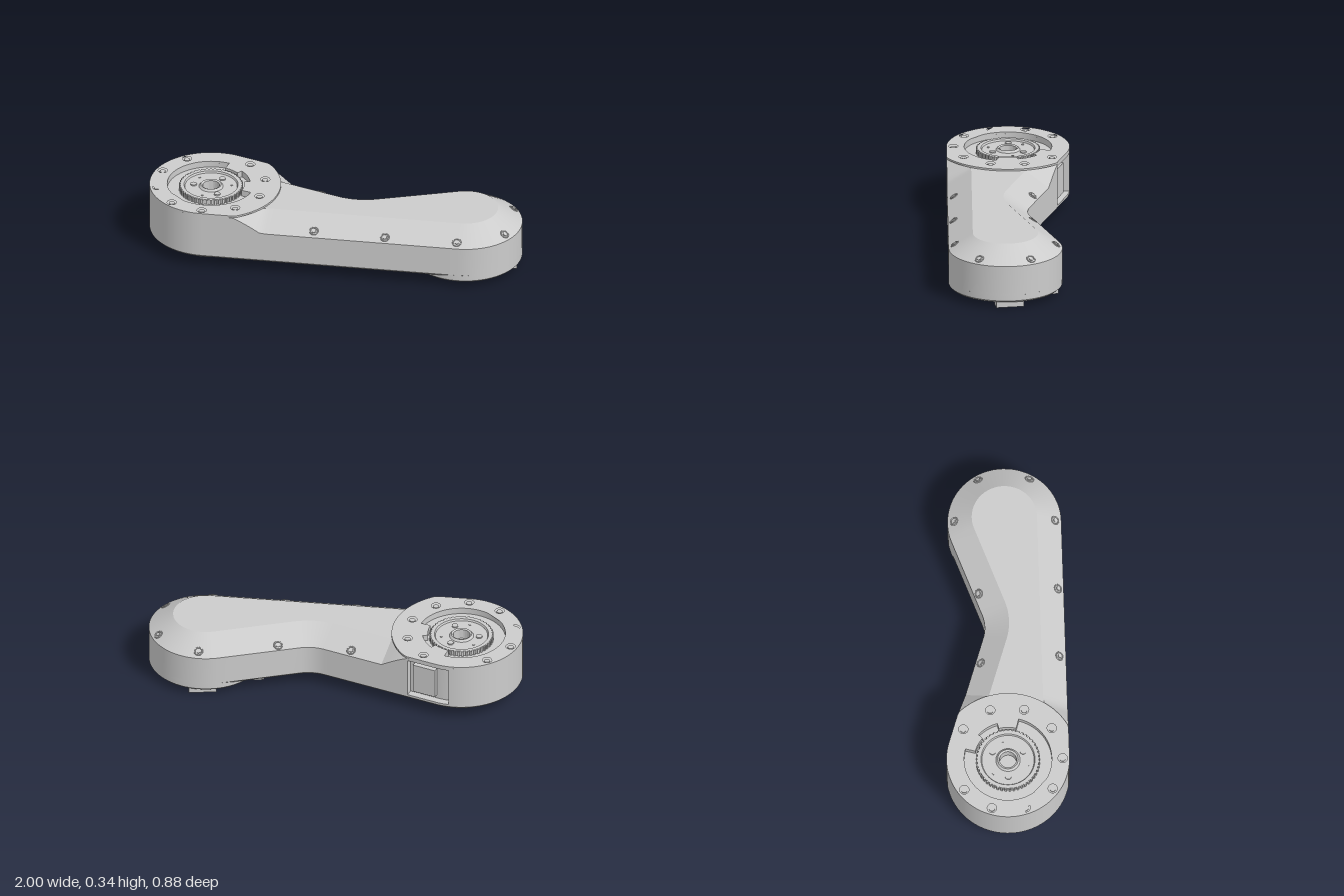
import * as THREE from 'three';
import { toCreasedNormals } from 'three/addons/utils/BufferGeometryUtils.js';

const mat = new THREE.MeshStandardMaterial({ color: 0xcccccc });
const matDouble = new THREE.MeshStandardMaterial({ color: 0xcccccc, side: THREE.DoubleSide });
const rad = THREE.MathUtils.degToRad;
const A = { x: -0.668, z: -0.112, r: 0.33 };   // drum end
const B = { x: 0.695, z: 0.13, r: 0.305 };     // lobe end
const W = { x: 0.16, z: -0.283, r: 0.2 };      // concave waist fillet
const TOP = 0.325, BASE = 0.065, PLATE = 0.335;

export function createModel() {
  const model = new THREE.Group();
  const add = (name, geo, x = 0, y = 0, z = 0, m = mat) => {
    const mesh = new THREE.Mesh(geo, m);
    mesh.name = name;
    mesh.position.set(x, y, z);
    model.add(mesh);
    return mesh;
  };
  const disc = (name, x, z, r, y0, y1, seg = 48) =>
    add(name, new THREE.CylinderGeometry(r, r, y1 - y0, seg), x, (y0 + y1) / 2, z);
  const block = (name, x, z, w, d, y0, y1) =>
    add(name, new THREE.BoxGeometry(w, y1 - y0, d), x, (y0 + y1) / 2, z);
  const slab = (name, shape, y0, y1) =>
    add(name, new THREE.ExtrudeGeometry(shape, { depth: y1 - y0, bevelEnabled: false, curveSegments: 32 })
      .rotateX(-Math.PI / 2), 0, y0, 0);
  const circleHole = (x, z, r) => new THREE.Path().absarc(x, -z, r, 0, Math.PI * 2, true);

  const outline = makeOutline();
  add('armBody', makeBody(outline));

  // flat faces closing the body
  const last = outline.map(p => offset(p, 0.13 * p.s));
  const topShape = new THREE.Shape(last.map(([x, z]) => new THREE.Vector2(x, -z)));
  topShape.holes.push(circleHole(A.x, A.z, 0.235));
  add('armTop', new THREE.ShapeGeometry(topShape, 40).rotateX(-Math.PI / 2), 0, TOP, 0);
  const under = new THREE.Shape(outline.map(p => new THREE.Vector2(...offset(p, 0.012))));
  add('armUnderside', new THREE.ShapeGeometry(under).rotateX(Math.PI / 2), 0, BASE, 0);

  // drum top plate: a circle trimmed by the body's straight sides
  const rim = [];
  for (let t = -180; t < 180; t += 3) {
    let r = A.r;
    if (t > -62.9 && t < 99) {
      r = 0.375;
      for (const n of [99, -62.9]) {
        const c = Math.cos(rad(t - n));
        if (c > 0.5) r = Math.min(r, A.r / c);
      }
    }
    rim.push(new THREE.Vector2(A.x + r * Math.cos(rad(t)), -A.z - r * Math.sin(rad(t))));
  }
  const plate = new THREE.Shape(rim);
  plate.holes.push(circleHole(A.x, A.z, 0.235));
  for (let k = 0; k < 9; k++) {
    const a = rad(-44 + 36 * k);
    const x = A.x + 0.293 * Math.cos(a), z = A.z + 0.293 * Math.sin(a);
    plate.holes.push(circleHole(x, z, 0.025));
    disc('plateScrew', x, z, 0.016, TOP, PLATE - 0.003, 16);
  }
  slab('drumPlate', plate, TOP, PLATE);

  // sunken rotary joint inside the drum
  const profile = [[0, 0.27], [0.045, 0.27], [0.045, 0.325], [0.055, 0.33], [0.065, 0.318], [0.14, 0.318],
    [0.145, 0.328], [0.165, 0.328], [0.165, 0.3], [0.235, 0.3], [0.235, PLATE]];
  add('jointRecess', toCreasedNormals(new THREE.LatheGeometry(
    profile.map(p => new THREE.Vector2(...p)), 64), 0.5), A.x, 0, A.z, matDouble);
  for (let k = 0; k < 48; k++) {
    const a = k / 48 * Math.PI * 2;
    const tooth = block('jointTooth', A.x + 0.165 * Math.cos(a), A.z + 0.165 * Math.sin(a), 0.014, 0.011, 0.3, 0.327);
    tooth.rotation.y = -a;
  }
  for (let k = 0; k < 3; k++) {
    const a = rad(70 + 120 * k), b = a + 0.8;
    disc('jointBolt', A.x + 0.095 * Math.cos(a), A.z + 0.095 * Math.sin(a), 0.017, 0.31, 0.325, 16);
    disc('jointPin', A.x + 0.11 * Math.cos(b), A.z + 0.11 * Math.sin(b), 0.007, 0.31, 0.322, 10);
  }
  // raised segments that interrupt the recess
  for (const [from, to, inner] of [[-65, -38, 0.18], [-38, -5, 0.21], [-5, 25, 0.18]]) {
    const s = new THREE.Shape();
    s.absarc(A.x, -A.z, 0.236, rad(-to), rad(-from), false);
    s.absarc(A.x, -A.z, inner, rad(-from), rad(-to), true);
    slab('recessSegment', s, 0.3, PLATE);
  }

  // screws set in the sloping shoulder
  const shoulder = [[-0.075, -0.147], [0.315, -0.083], [0.743, -0.136], [0.952, 0.035],
    [0.904, 0.307], [0.647, 0.398], [0.262, 0.34], [-0.118, 0.275]];
  for (const [x, z] of shoulder) {
    const near = outline.reduce((a, b) => Math.hypot(a.x - x, a.z - z) < Math.hypot(b.x - x, b.z - z) ? a : b);
    const d = (near.x - x) * near.nx + (near.z - z) * near.nz;
    const up = new THREE.Vector3(near.nx * 0.085, 0.13, near.nz * 0.085).normalize();
    const y = TOP - 0.085 + 0.085 * d / 0.13;
    const parts = [add('shoulderScrewRim', new THREE.TorusGeometry(0.021, 0.004, 6, 20).rotateX(Math.PI / 2), x, y, z),
      add('shoulderScrew', new THREE.CylinderGeometry(0.012, 0.012, 0.01, 6), x, y, z)];
    parts.forEach(p => p.quaternion.setFromUnitVectors(new THREE.Vector3(0, 1, 0), up));
  }

  // connector cover inside the side window
  const cover = block('windowCover', -0.465, -0.345, 0.13, 0.03, 0.11, 0.28);
  cover.rotation.y = -rad(27.1);

  // drum underside: round cover and cable guide
  disc('drumCover', A.x, A.z, 0.245, 0.02, BASE + 0.002, 64);
  block('cableGuide', -0.415, A.z, 0.13, 0.04, 0.04, BASE + 0.002);
  for (const dz of [-0.06, 0.06]) disc('guideScrew', -0.4, A.z + dz, 0.01, 0.058, BASE + 0.002, 12);

  // lobe underside: base, output hub and stop pads
  const base = [[0, 0.035], [0.295, 0.035], [0.305, 0.045], [0.305, 0.09]].map(p => new THREE.Vector2(...p));
  add('lobeBase', toCreasedNormals(new THREE.LatheGeometry(base, 64), 0.5), B.x, 0, B.z, matDouble);
  disc('outputHub', B.x, B.z, 0.14, 0.02, 0.04);
  const hub = new THREE.Shape().absarc(B.x, -B.z, 0.075, 0, Math.PI * 2, false);
  hub.holes.push(circleHole(B.x, B.z, 0.04));
  slab('outputRing', hub, 0.008, 0.022);
  for (let k = 0; k < 6; k++) {
    const a = k * Math.PI / 3;
    disc('hubScrew', B.x + 0.105 * Math.cos(a), B.z + 0.105 * Math.sin(a), 0.009, 0.016, 0.022, 10);
  }
  block('sideStop', 0.94, 0.15, 0.06, 0.15, 0, 0.04);
  block('backStop', 0.72, -0.105, 0.15, 0.07, 0, 0.04);
  block('armStop', 0.42, -0.06, 0.06, 0.06, 0.04, BASE + 0.002);
  return model;
}

// Plan outline with outward normals; s is the shoulder strength, w marks the window.
function makeOutline() {
  const pts = [];
  const put = (x, z, nx, nz, w = 0) => {
    const d = Math.hypot(x - A.x, z - A.z);
    pts.push({ x, z, nx, nz, w, s: THREE.MathUtils.clamp((d - 0.368) / 0.09, 0, 1) });
  };
  const arc = (c, from, to, n, w = 0, sign = 1) => {
    for (let i = 0; i <= n; i++) {
      const a = rad(from + (to - from) * i / n), cx = Math.cos(a), cz = Math.sin(a);
      put(c.x + c.r * cx, c.z + c.r * cz, cx * sign, cz * sign, w);
    }
  };
  const line = (p, q, n, w = 0, skip = 1) => {
    for (let i = skip; i < n; i++)
      put(p[0] + (q[0] - p[0]) * i / n, p[1] + (q[1] - p[1]) * i / n, p[2], p[3], w);
  };
  const at = (c, deg, sign = 1) => {
    const x = Math.cos(rad(deg)), z = Math.sin(rad(deg));
    return [c.x + c.r * x, c.z + c.r * z, x * sign, z * sign];
  };
  arc(A, 99, 284, 40);
  arc(A, 284, 297.1, 4, 1);
  const start = at(A, 297.1), waist = at(W, 117.1, -1);
  const k = 0.25;
  const mid = [start[0] + (waist[0] - start[0]) * k, start[1] + (waist[1] - start[1]) * k, start[2], start[3]];
  line(start, mid, 4, 1);
  put(...mid, 1);
  line(mid, waist, 16, 0, 0);
  arc(W, 117.1, 79.4, 8, 0, -1);
  line(at(W, 79.4, -1), at(B, 259.4), 6);
  arc(B, 259.4, 459, 40);
  line(at(B, 99), at(A, 99), 40);
  return pts;
}

function offset(p, d) {
  return [p.x - p.nx * d, p.z - p.nz * d];
}

// Side wall: stacked loops from the bottom edge, past the window, up to the shoulder.
function makeBody(outline) {
  const shoulderY = p => TOP - 0.085 * p.s;
  const windowTop = p => Math.min(0.31, shoulderY(p));
  const levels = [
    p => [0.012, BASE], p => [0, 0.077], p => [0, 0.09], p => [0.04 * p.w, 0.09],
    p => [0.04 * p.w, windowTop(p)], p => [0, windowTop(p)], p => [0, shoulderY(p)], p => [0.13 * p.s, TOP],
  ];
  const loops = levels.map(f => outline.map(p => {
    const [d, y] = f(p), [x, z] = offset(p, d);
    return new THREE.Vector3(x, y, z);
  }));
  const pos = [], tri = new THREE.Triangle();
  const face = (a, b, c) => {
    if (tri.set(a, b, c).getArea() > 1e-8) for (const v of [a, b, c]) pos.push(v.x, v.y, v.z);
  };
  for (let j = 0; j + 1 < loops.length; j++)
    for (let i = 0; i < outline.length; i++) {
      const n = (i + 1) % outline.length, lo = loops[j], hi = loops[j + 1];
      face(lo[i], hi[i], lo[n]);
      face(lo[n], hi[i], hi[n]);
    }
  const geo = new THREE.BufferGeometry();
  geo.setAttribute('position', new THREE.Float32BufferAttribute(pos, 3));
  return toCreasedNormals(geo, 0.45);
}
